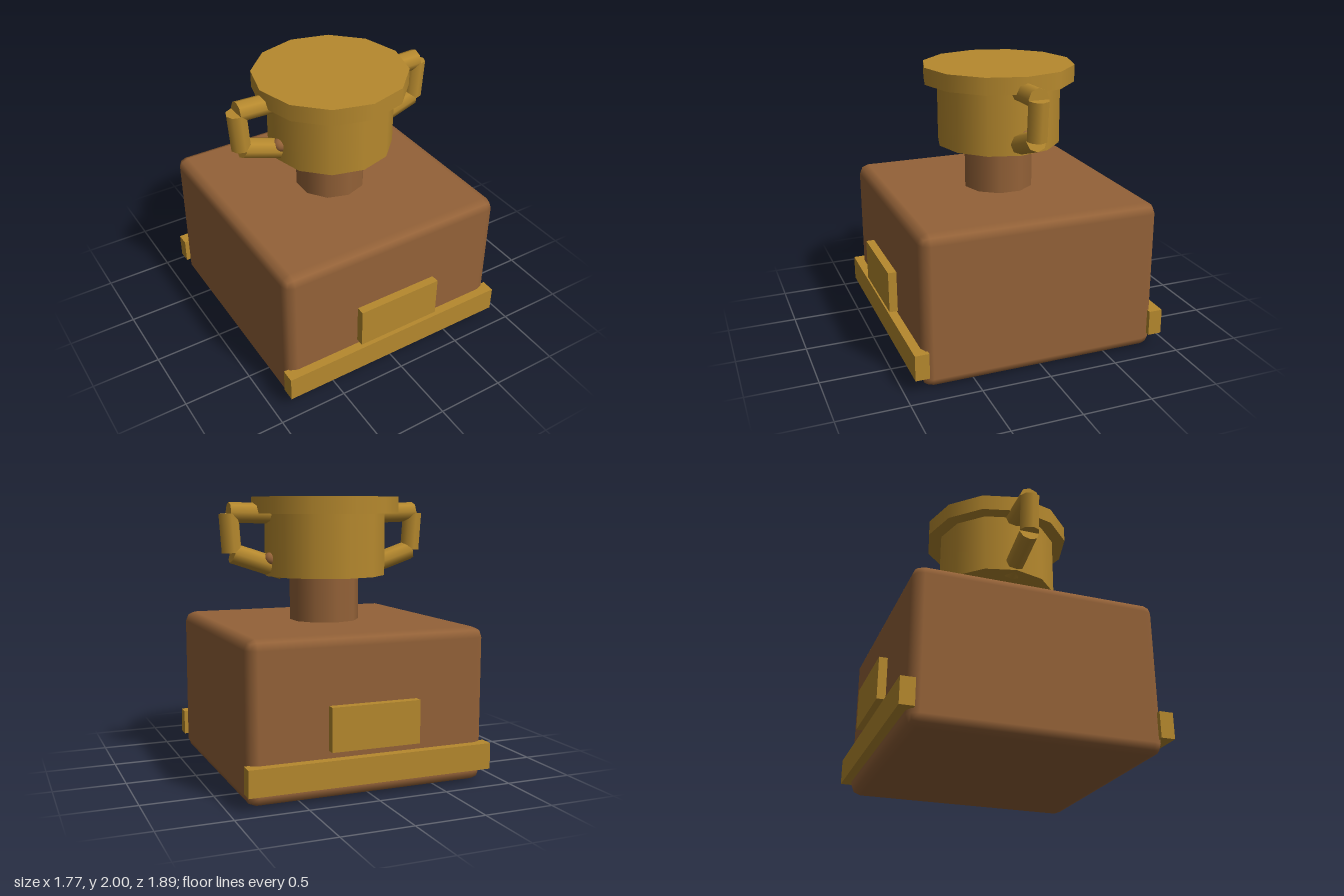
import * as THREE from 'three';
import { RoundedBoxGeometry } from 'three/addons/geometries/RoundedBoxGeometry.js';

export function createModel() {
  const wood = new THREE.MeshStandardMaterial({ color: 0x946238 });
  wood.name = 'brown wood';
  const gold = new THREE.MeshStandardMaterial({ color: 0xb6892e });
  gold.name = 'gold';

  const model = new THREE.Group();
  model.name = 'trophy';

  function add(parent, name, geometry, material, x, y, z) {
    const mesh = new THREE.Mesh(geometry, material);
    mesh.name = name;
    mesh.position.set(x, y, z);
    parent.add(mesh);
    return mesh;
  }

  // Round bar between two points in the handle's plane
  function bar(parent, name, [x1, y1], [x2, y2]) {
    const a = new THREE.Vector3(x1, y1, 0);
    const b = new THREE.Vector3(x2, y2, 0);
    const dir = b.clone().sub(a);
    const geometry = new THREE.CylinderGeometry(0.073, 0.073, dir.length(), 8);
    const mid = a.add(b).multiplyScalar(0.5);
    const mesh = add(parent, name, geometry, gold, mid.x, mid.y, 0);
    mesh.quaternion.setFromUnitVectors(new THREE.Vector3(0, 1, 0), dir.normalize());
  }

  // Chamfered base block
  add(model, 'base', new RoundedBoxGeometry(1.73, 1.1, 1.73, 1, 0.072), wood, 0, 0.55, 0);

  // Stem, bowl and rim
  add(model, 'stem', new THREE.CylinderGeometry(0.255, 0.255, 0.36, 10), wood, 0, 1.27, 0);
  add(model, 'bowl', new THREE.CylinderGeometry(0.448, 0.448, 0.46, 12), gold, 0, 1.66, 0);
  add(model, 'rim', new THREE.CylinderGeometry(0.547, 0.547, 0.12, 12), gold, 0, 1.94, 0);

  for (const side of [1, -1]) {
    const turn = side > 0 ? 0 : Math.PI;

    // Handle of three bars, with a small stud where it meets the bowl
    const handle = new THREE.Group();
    handle.name = side > 0 ? 'rightHandle' : 'leftHandle';
    handle.rotation.y = turn;
    model.add(handle);
    bar(handle, 'handleTop', [-0.4, 1.88], [-0.727, 1.889]);
    bar(handle, 'handleGrip', [-0.727, 1.882], [-0.707, 1.605]);
    bar(handle, 'handleBottom', [-0.7, 1.6], [-0.325, 1.475]);
    add(handle, 'handleStud', new THREE.SphereGeometry(0.05, 12, 8), wood, -0.43, 1.555, 0.035);

    // Trim rail and plaque on the front and back
    const face = new THREE.Group();
    face.name = side > 0 ? 'frontTrim' : 'backTrim';
    face.rotation.y = turn;
    model.add(face);
    add(face, 'rail', new THREE.BoxGeometry(1.77, 0.185, 0.1), gold, 0, 0.193, 0.88);
    add(face, 'plaque', new THREE.BoxGeometry(0.64, 0.3, 0.06), gold, 0, 0.495, 0.916);
  }

  return model;
}
